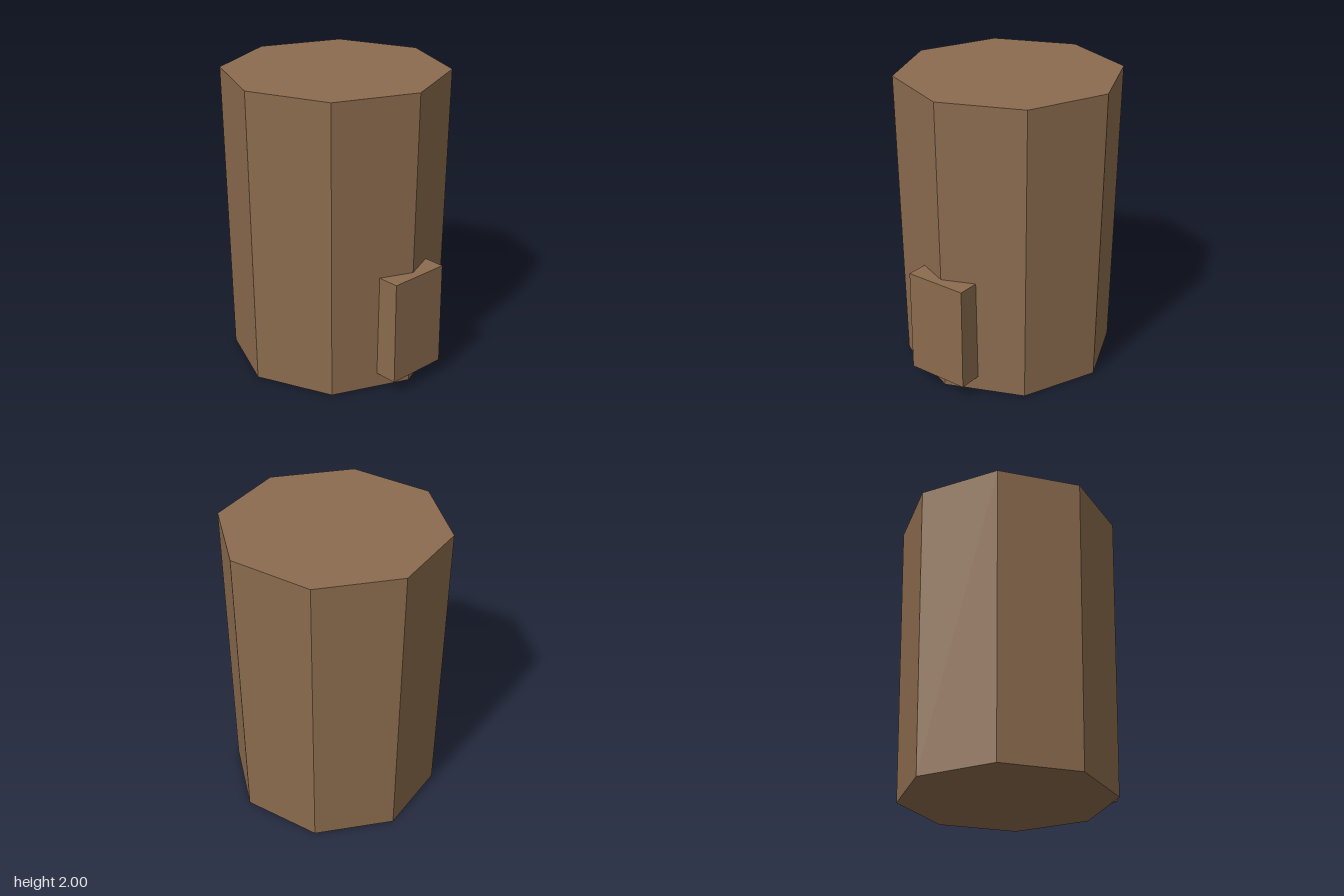
import * as THREE from 'three';

export function createModel() {
  const model = new THREE.Group();
  const brown = new THREE.MeshStandardMaterial({ color: 0x8b6b4e, flatShading: true });
  brown.name = 'wood brown';

  // Eight-sided body, slightly wider at the top
  const body = new THREE.Mesh(new THREE.CylinderGeometry(0.747, 0.713, 2, 8), brown);
  body.name = 'body';
  body.position.set(-0.02, 1, 0);
  model.add(body);

  // Block set into the body's left edge
  const block = new THREE.Mesh(new THREE.BoxGeometry(0.3, 0.7, 0.427), brown);
  block.name = 'sideBlock';
  block.position.set(0.615, 0.45, 0);
  model.add(block);

  return model;
}
